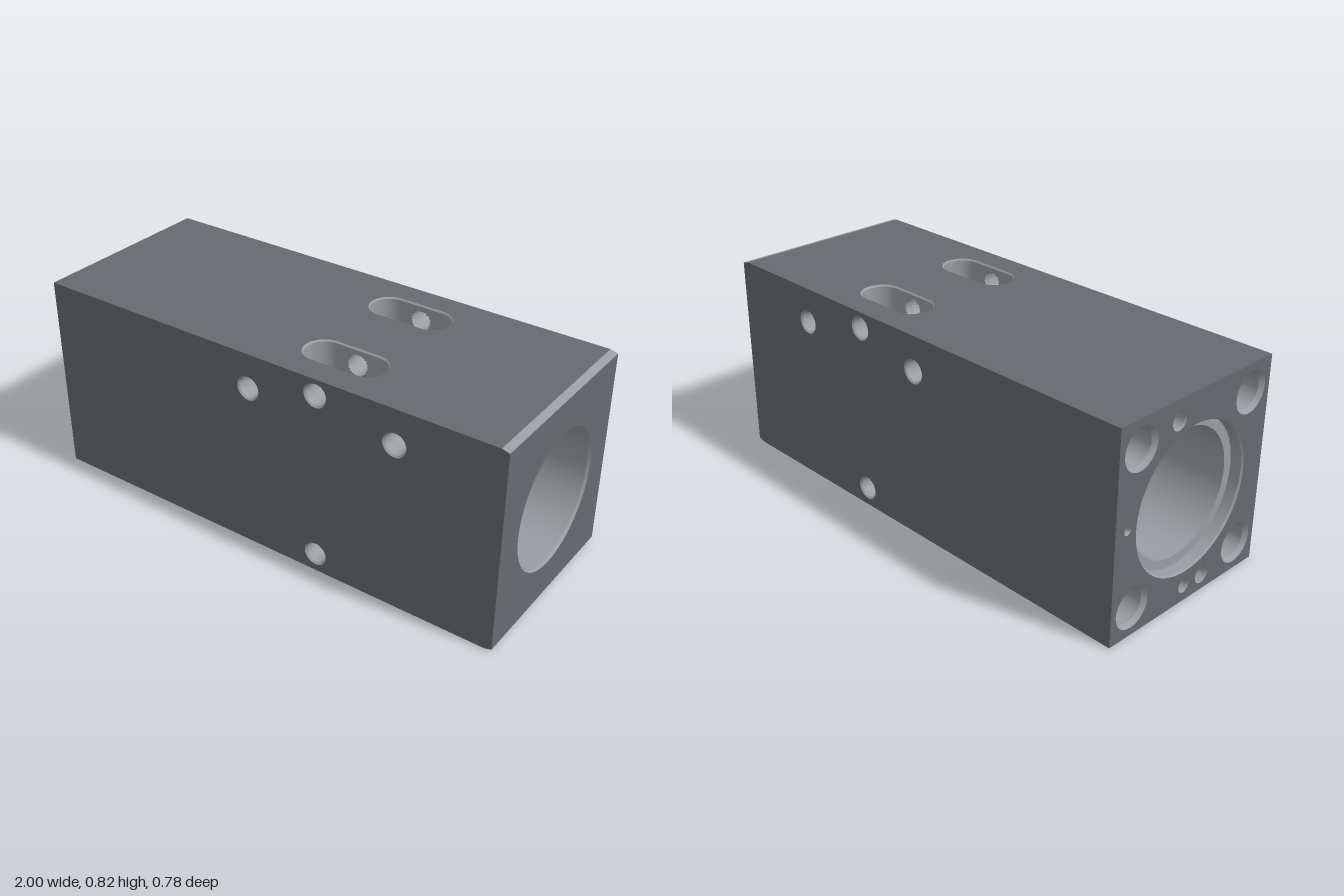
import * as THREE from 'three';

const W = 1, H = 0.82, D = 0.39, CY = 0.41;
const CH = 0.03, DROP = 0.008; // shallow chamfer at the +x end
const SLOT = { x: 0.255, z: 0.208, len: 0.18, r: 0.075 };
const CROSS = [[-0.04, 0.68], [0.255, 0.755], [0.58, 0.68], [0.255, 0.075]];
const CROSS_R = 0.042;
const BORE_R = 0.167;
const RIM = 0.006; // small countersink on every hole

// End-face holes at -x: [z, y, radius, depth]
const END_HOLES = [
  [-0.1, 0.74, 0.032, 0.2], [0.094, 0.063, 0.032, 0.2],
  [-0.005, 0.063, 0.025, 0.2], [-0.33, 0.43, 0.014, 0.1],
];
const BOLTS = [];
for (const z of [-0.285, 0.285]) for (const y of [0.11, 0.71]) BOLTS.push([z, y]);

// Stadium outline, a circle when len is 0
function outline(cx, cy, len, r) {
  const pts = [], arc = 32, line = len > 0 ? 20 : 0;
  for (const s of [1, -1]) {
    for (let i = 0; i < arc + (line ? 1 : 0); i++) {
      const t = -Math.PI / 2 + (Math.PI * i) / arc;
      pts.push(new THREE.Vector2(cx + s * (len / 2 + r * Math.cos(t)), cy + s * r * Math.sin(t)));
    }
    for (let i = 1; i < line; i++) {
      pts.push(new THREE.Vector2(cx + s * (len / 2 - (len * i) / line), cy + s * r));
    }
  }
  return pts;
}

const AXIS = {
  x: g => g.rotateY(Math.PI / 2),
  y: g => g.rotateX(-Math.PI / 2),
  z: g => g,
};

export function createModel() {
  const group = new THREE.Group();
  const outer = new THREE.MeshStandardMaterial({ color: 0x666a70, side: THREE.DoubleSide });
  const inner = new THREE.MeshStandardMaterial({ color: 0x9a9da2, side: THREE.DoubleSide });
  const add = (name, geo, mat) => {
    const m = new THREE.Mesh(geo, mat);
    m.name = name;
    group.add(m);
  };

  // Where other cavities open into a wall
  const inSlot = p => {
    const dx = Math.max(0, Math.abs(p.x - SLOT.x) - SLOT.len / 2);
    return Math.hypot(dx, Math.abs(p.z) - SLOT.z) < SLOT.r;
  };
  const inBoreOrCross = p => Math.hypot(p.y - CY, p.z) < BORE_R
    || CROSS.some(([x, y]) => Math.hypot(p.x - x, p.y - y) < CROSS_R);

  // Cavity wall through sections [height, radius]; drops the faces inside other cavities
  function cavity(name, axis, cx, cy, len, sections, cut) {
    const sub = new THREE.Group();
    sub.name = name;
    for (let k = 0; k + 1 < sections.length; k++) {
      const [h0, r0] = sections[k], [h1, r1] = sections[k + 1];
      const steps = cut ? Math.max(1, Math.ceil((h1 - h0) / 0.01)) : 1;
      const pos = [], idx = [];
      let n = 0;
      for (let j = 0; j <= steps; j++) {
        const t = j / steps, h = h0 + (h1 - h0) * t;
        const ring = outline(cx, cy, len, r0 + (r1 - r0) * t);
        n = ring.length;
        for (const p of ring) pos.push(p.x, p.y, h);
      }
      for (let j = 0; j < steps; j++) {
        for (let i = 0; i < n; i++) {
          const a = j * n + i, b = j * n + ((i + 1) % n);
          idx.push(a, b + n, b, a, a + n, b + n);
        }
      }
      const g = new THREE.BufferGeometry();
      g.setAttribute('position', new THREE.Float32BufferAttribute(pos, 3));
      g.setIndex(idx);
      AXIS[axis](g);
      g.computeVertexNormals();
      if (cut) {
        const P = g.attributes.position, keep = [], c = new THREE.Vector3(), v = new THREE.Vector3();
        for (let i = 0; i < idx.length; i += 3) {
          c.set(0, 0, 0);
          for (let q = 0; q < 3; q++) c.addScaledVector(v.fromBufferAttribute(P, idx[i + q]), 1 / 3);
          if (!cut(c)) keep.push(idx[i], idx[i + 1], idx[i + 2]);
        }
        g.setIndex(keep);
      }
      const m = new THREE.Mesh(g, inner);
      m.name = name + 'Wall';
      sub.add(m);
    }
    group.add(sub);
  }

  // Flat face with openings
  function face(points, holes) {
    const s = new THREE.Shape(points.map(([x, y]) => new THREE.Vector2(x, y)));
    s.holes = holes.map(h => new THREE.Path(h));
    return new THREE.ShapeGeometry(s);
  }

  // Long side faces
  for (const s of [1, -1]) {
    const pts = [[-W, 0], [W - CH, 0], [W, DROP], [W, H - DROP], [W - CH, H], [-W, H]].map(([x, y]) => [s * x, y]);
    const holes = CROSS.map(([x, y]) => outline(s * x, y, 0, CROSS_R + RIM));
    const g = face(pts, holes);
    if (s < 0) g.rotateY(Math.PI);
    add(s > 0 ? 'frontFace' : 'backFace', g.translate(0, 0, s * D), outer);
  }

  // Top and bottom faces, with the chamfers beside them
  const slotRims = [1, -1].map(s => outline(SLOT.x, s * SLOT.z, SLOT.len, SLOT.r + RIM));
  for (const s of [1, -1]) {
    const g = face([[-W, -D], [W - CH, -D], [W - CH, D], [-W, D]], slotRims);
    g.rotateX(-s * Math.PI / 2).translate(0, s > 0 ? H : 0, 0);
    add(s > 0 ? 'topFace' : 'bottomFace', g, outer);
    const c = new THREE.PlaneGeometry(Math.hypot(CH, DROP), 2 * D);
    c.rotateX(-s * Math.PI / 2).rotateZ(-s * Math.atan2(DROP, CH));
    c.translate(W - CH / 2, s > 0 ? H - DROP / 2 : DROP / 2, 0);
    add('endChamfer', c, inner);
  }

  // End faces
  const right = face([[-D, DROP], [D, DROP], [D, H - DROP], [-D, H - DROP]], [outline(0, CY, 0, 0.27)]);
  add('rightEndFace', right.rotateY(Math.PI / 2).translate(W, 0, 0), outer);
  const left = face([[-D, 0], [D, 0], [D, H], [-D, H]], [
    outline(0, CY, 0, 0.288),
    ...BOLTS.map(([z, y]) => outline(z, y, 0, 0.08)),
    ...END_HOLES.map(([z, y, r]) => outline(z, y, 0, r + RIM / 2)),
  ]);
  add('leftEndFace', left.rotateY(-Math.PI / 2).translate(-W, 0, 0), outer);

  // Main stepped bore
  cavity('leftBore', 'x', 0, CY, 0,
    [[-W, 0.288], [-0.994, 0.282], [-0.95, 0.282], [-0.95, 0.245], [-0.4, 0.245], [-0.4, BORE_R]]);
  cavity('middleBore', 'x', 0, CY, 0, [[-0.4, BORE_R], [0.7, BORE_R]], inSlot);
  cavity('rightBore', 'x', 0, CY, 0,
    [[0.7, BORE_R], [0.7, 0.247], [0.715, 0.265], [0.99, 0.265], [W, 0.27]]);

  // Vertical slots
  for (const s of [1, -1]) {
    cavity('slot', 'y', SLOT.x, s * SLOT.z, SLOT.len,
      [[0, SLOT.r + RIM], [RIM, SLOT.r], [H - RIM, SLOT.r], [H, SLOT.r + RIM]], inBoreOrCross);
  }

  // Cross holes from front to back
  for (const [x, y] of CROSS) {
    cavity('crossHole', 'z', x, y, 0,
      [[-D, CROSS_R + RIM], [-D + RIM, CROSS_R], [D - RIM, CROSS_R], [D, CROSS_R + RIM]], inSlot);
  }

  // Blind holes in the left end
  for (const [z, y] of BOLTS) {
    cavity('boltHole', 'x', -z, y, 0,
      [[-W, 0.08], [-0.985, 0.065], [-0.8, 0.065], [-0.8, 0]]);
  }
  for (const [z, y, r, d] of END_HOLES) {
    cavity('pinHole', 'x', -z, y, 0, [[-W, r + RIM / 2], [-W + RIM, r], [-W + d, r], [-W + d, 0]]);
  }
  return group;
}
